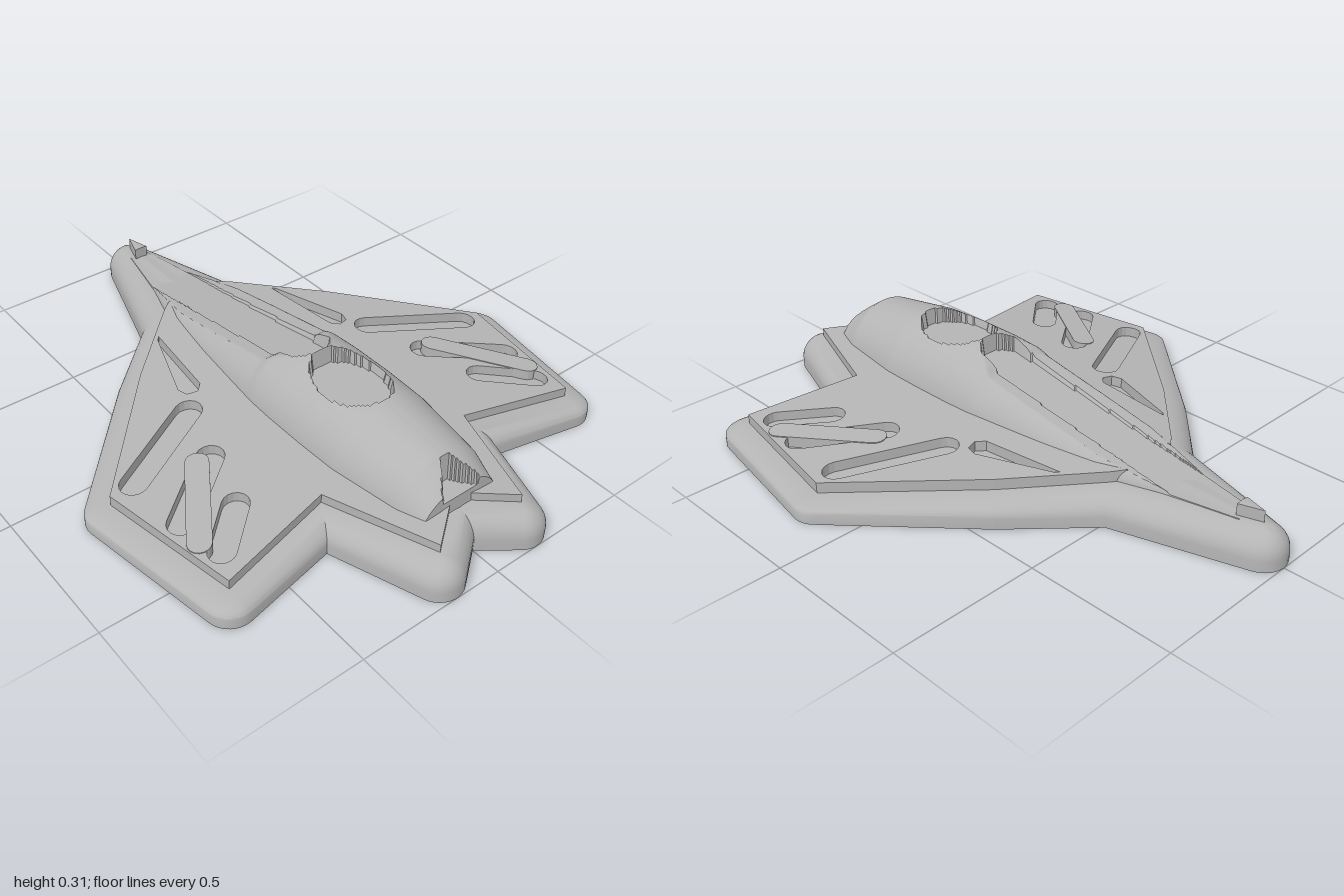
import * as THREE from 'three';
import { toCreasedNormals } from 'three/addons/utils/BufferGeometryUtils.js';

const hullGrey = new THREE.MeshStandardMaterial({ color: 0xb4b4b4, side: THREE.DoubleSide });
hullGrey.name = 'hullGrey';

// Half plan of the deck as [x, z], nose to tail
const HALF = [[0, -0.92], [0.14, -0.47], [0.39, -0.235], [0.75, 0.16], [0.67, 0.64],
  [0.285, 0.56], [0.16, 0.92], [0, 0.8]];
const RIM = 0.08;

const baseY = (x, z) => 0.122 - 0.085 * Math.abs(x) + 0.006 * z; // top of the base
const deckY = (x) => 0.155 - 0.08 * Math.abs(x);                 // top of the deck plate

const vecs = (pts) => pts.map(([x, z]) => new THREE.Vector2(x, z));

// Turns a shape drawn in (x, z) into a plan geometry; side is +1 or -1 for the mirror
function toPlan(source, height, side = 1, faceDown = false) {
  const g = source.index ? source.toNonIndexed() : source;
  const p = g.attributes.position;
  const out = [];
  const swap = (side > 0) !== faceDown;
  for (let i = 0; i < p.count; i += 3) {
    for (const k of swap ? [0, 2, 1] : [0, 1, 2]) {
      const x = p.getX(i + k), z = p.getY(i + k);
      out.push(x * side, height(x, z, p.getZ(i + k)), z);
    }
  }
  const r = new THREE.BufferGeometry();
  r.setAttribute('position', new THREE.Float32BufferAttribute(out, 3));
  r.computeVertexNormals();
  return r;
}

function gridGeometry(rows) {
  const n = rows[0].length, index = [];
  for (let i = 0; i < rows.length - 1; i++) {
    for (let j = 0; j < n - 1; j++) {
      const a = i * n + j, b = a + n;
      index.push(a, b, a + 1, a + 1, b, b + 1);
    }
  }
  const g = new THREE.BufferGeometry();
  g.setAttribute('position', new THREE.Float32BufferAttribute(rows.flat(2), 3));
  g.setIndex(index);
  return toCreasedNormals(g, 0.6);
}

// Full outline grown by d: round at convex corners, mitred at concave ones
function outline(d, steps = 10) {
  const poly = [...HALF, ...HALF.slice(1, -1).reverse().map(([x, z]) => [-x, z])];
  const n = poly.length, pts = [];
  const normal = (a, b) => Math.atan2(a[0] - b[0], b[1] - a[1]);
  poly.forEach((p, i) => {
    const a0 = normal(poly[(i + n - 1) % n], p);
    let turn = normal(p, poly[(i + 1) % n]) - a0;
    turn = Math.atan2(Math.sin(turn), Math.cos(turn));
    for (let k = 0; k <= steps; k++) {
      const a = a0 + turn * (turn > 0 ? k / steps : 0.5);
      const r = turn > 0 ? d : d / Math.cos(turn / 2);
      pts.push([p[0] + Math.cos(a) * r, p[1] + Math.sin(a) * r]);
    }
  });
  return pts;
}

// Rounded bar shape between two points
function stadium([x1, z1], [x2, z2], r) {
  const a = Math.atan2(z2 - z1, x2 - x1), pts = [];
  for (const [x, z, s] of [[x2, z2, a - Math.PI / 2], [x1, z1, a + Math.PI / 2]]) {
    for (let k = 0; k <= 8; k++) {
      const t = s + (k / 8) * Math.PI;
      pts.push([x + r * Math.cos(t), z + r * Math.sin(t)]);
    }
  }
  return pts;
}

// Fuselage stations: z, half width, crown height
const STATIONS = [[-0.86, 0.035, 0.116], [-0.62, 0.085, 0.124], [-0.4, 0.15, 0.16], [-0.2, 0.175, 0.195],
  [0.07, 0.2, 0.245], [0.1, 0.203, 0.27], [0.2, 0.206, 0.308], [0.35, 0.206, 0.309], [0.5, 0.202, 0.303],
  [0.74, 0.17, 0.268], [0.81, 0.15, 0.225], [0.83, 0.145, 0.21]];

function station(z) {
  let i = 0;
  while (i < STATIONS.length - 2 && z > STATIONS[i + 1][0]) i++;
  const [a, b] = [STATIONS[i], STATIONS[i + 1]];
  const t = (z - a[0]) / (b[0] - a[0]);
  return [a[1] + (b[1] - a[1]) * t, a[2] + (b[2] - a[2]) * t];
}

function fuselageY(x, z, w, top) {
  const floor = 0.1;
  const extra = z < 0.2 ? 0.04 * Math.min(1, (0.2 - z) / 0.13) : 0; // flattened crown ahead of the hump
  const arch = Math.sqrt(Math.max(0, 1 - (x / w) ** 2));
  let y = Math.min(top, floor + (top + extra - floor) * arch);
  // long spine channel with a round end
  if (Math.abs(x) < 0.077 && (z < 0.125 || x * x + (z - 0.125) ** 2 < 0.0058)) {
    y = Math.min(y, Math.max(0.115, 0.218 + 0.16 * z));
  }
  // oval pit in the hump
  if ((x / 0.106) ** 2 + ((z - 0.35) / 0.146) ** 2 < 1) y = Math.min(y, 0.25);
  // tail notch
  if (z > 0.76 && Math.abs(x) < (z - 0.74) * 0.8) y = Math.min(y, 0.17);
  return y;
}

function fuselageGeometry() {
  const rows = [], nz = 170, nx = 72, z0 = -0.86, z1 = 0.83;
  for (let i = 0; i <= nz; i++) {
    const z = z0 + ((z1 - z0) * i) / nz;
    const [w, top] = station(z);
    const row = [];
    for (let j = 0; j <= nx; j++) {
      const x = -w * Math.cos((j / nx) * Math.PI);
      row.push([x, fuselageY(x, z, w, top), z]);
    }
    rows.push(row);
  }
  rows.push(rows[nz].map(([x, , z]) => [x, 0.1, z + 0.004])); // rear wall
  return gridGeometry(rows);
}

export function createModel() {
  const model = new THREE.Group();
  const add = (name, geometry) => {
    const m = new THREE.Mesh(geometry, hullGrey);
    m.name = name;
    model.add(m);
    return m;
  };

  // Rounded rim of the base
  const edge = 0.035;
  const ring = (d, y) => {
    const pts = outline(d).map(([x, z]) => [x, y(x, z), z]);
    return [...pts, pts[0]];
  };
  const rings = [ring(RIM, () => 0), ring(RIM, () => edge)];
  for (let k = 1; k <= 8; k++) {
    const a = (k / 8) * Math.PI / 2;
    rings.push(ring(RIM * Math.cos(a), (x, z) => edge + (baseY(x, z) - edge) * Math.sin(a)));
  }
  // columns run around the outline, rows run upwards
  const columns = rings[0].map((_, j) => rings.map((r) => r[j]));
  add('baseRim', gridGeometry(columns.reverse()));

  // Underside with a tapered stand socket
  const under = new THREE.Shape(vecs(outline(RIM)));
  under.holes.push(new THREE.Path().absarc(0, 0.225, 0.16, 0, Math.PI * 2, true));
  add('underside', toPlan(new THREE.ShapeGeometry(under, 20), () => 0, 1, true));
  add('socketWall', new THREE.CylinderGeometry(0.08, 0.16, 0.2, 40, 1, true)).position.set(0, 0.1, 0.225);
  const roof = add('socketRoof', new THREE.CircleGeometry(0.08, 40));
  roof.rotation.x = Math.PI / 2;
  roof.position.set(0, 0.2, 0.225);

  // Deck plate with recesses, and the bars that cross them
  const deck = new THREE.Shape(vecs([[0.1, -0.5], ...HALF.slice(1), [0, -0.2], [0.1, -0.32]]));
  const slots = [
    stadium([0.37, 0.01], [0.67, 0.165], 0.045),
    stadium([0.435, 0.22], [0.65, 0.385], 0.045),
    stadium([0.49, 0.425], [0.625, 0.545], 0.042),
    [[0.238, -0.358], [0.25, -0.345], [0.34, -0.09], [0.33, -0.055], [0.295, -0.045], [0.27, -0.07]],
  ];
  deck.holes = slots.map((s) => new THREE.Path(vecs(s)));
  const noseTip = new THREE.Shape(vecs([[0, -0.92], [0.024, -0.84], [0, -0.84]]));
  const bar = new THREE.Shape(vecs(stadium([0.48, 0.215], [0.655, 0.48], 0.037)));
  const slab = (shape, lift, side) => toPlan(
    new THREE.ExtrudeGeometry(shape, { depth: 1, bevelEnabled: false }),
    (x, z, t) => (t > 0.5 ? deckY(x) + lift : baseY(x, z)), side);

  for (const [side, label] of [[1, 'left'], [-1, 'right']]) {
    add(label + 'BaseTop', toPlan(new THREE.ShapeGeometry(new THREE.Shape(vecs(HALF))), baseY, side));
    add(label + 'WingDeck', slab(deck, 0, side));
    add(label + 'WingBar', slab(bar, 0.003, side));
    add(label + 'NoseTip', slab(noseTip, 0, side));
  }

  add('fuselage', fuselageGeometry());
  return model;
}
